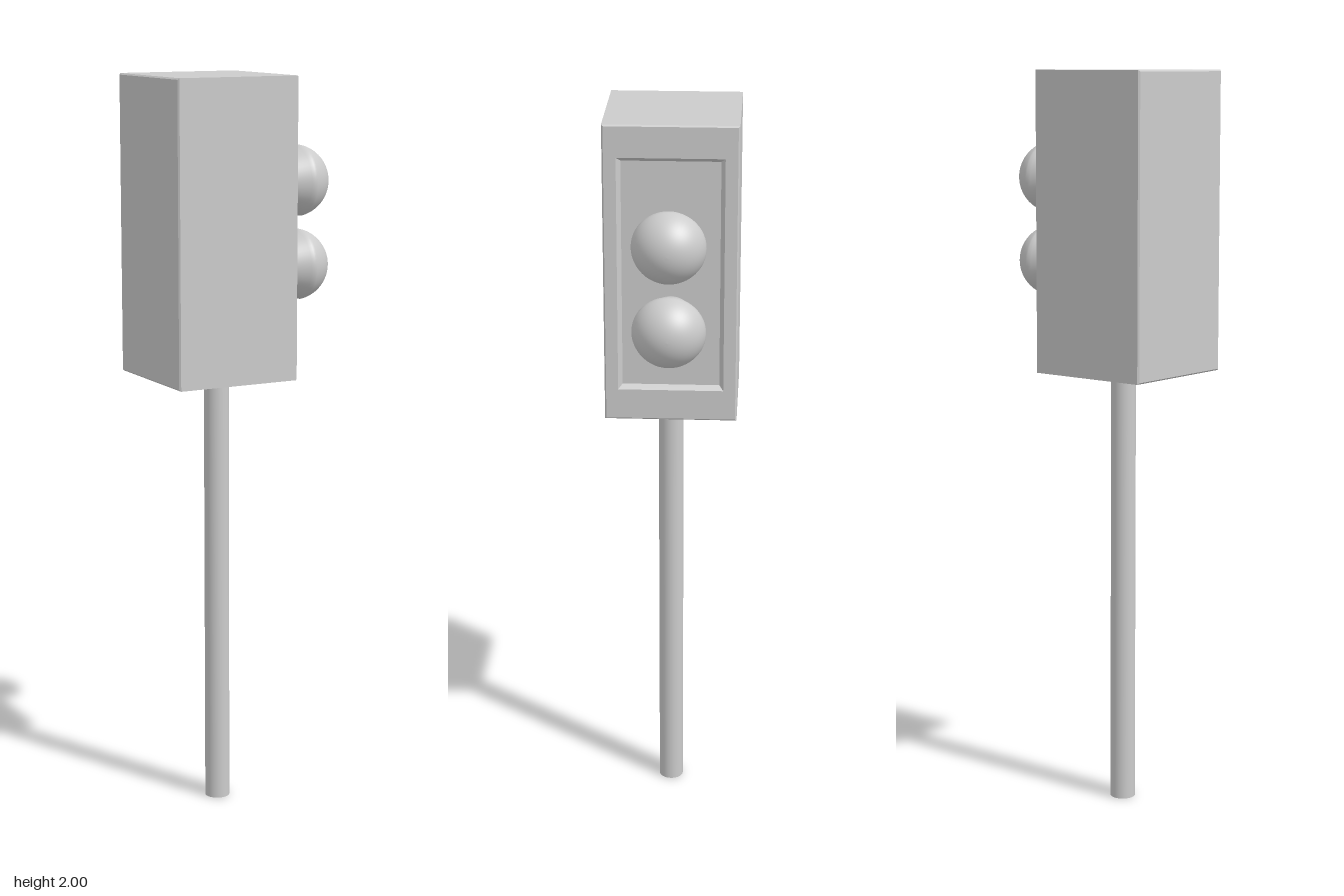
import * as THREE from 'three';

const material = new THREE.MeshStandardMaterial({ color: 0xcccccc });
const flatMaterial = new THREE.MeshStandardMaterial({ color: 0xcccccc, flatShading: true });
const openMaterial = new THREE.MeshStandardMaterial({ color: 0xcccccc, side: THREE.DoubleSide });

function addMesh(group, name, geometry, mat, x, y, z) {
  const mesh = new THREE.Mesh(geometry, mat);
  mesh.name = name;
  mesh.position.set(x, y, z);
  group.add(mesh);
}

// Rectangular rings [x, half height, half depth] joined along x and capped at both ends
function rectangleLoft(rings) {
  const positions = [];
  const indices = [];
  for (const [x, h, d] of rings) {
    positions.push(x, h, -d, x, h, d, x, -h, d, x, -h, -d);
  }
  for (let i = 0; i < rings.length - 1; i++) {
    for (let j = 0; j < 4; j++) {
      const a = i * 4 + j;
      const b = i * 4 + (j + 1) % 4;
      indices.push(a, b, b + 4, a, b + 4, a + 4);
    }
  }
  const e = (rings.length - 1) * 4;
  indices.push(0, 2, 1, 0, 3, 2, e, e + 1, e + 2, e, e + 2, e + 3);
  const geometry = new THREE.BufferGeometry();
  geometry.setAttribute('position', new THREE.Float32BufferAttribute(positions, 3));
  geometry.setIndex(indices);
  const flat = geometry.toNonIndexed();
  flat.computeVertexNormals();
  return flat;
}

// Flared lamp with a domed end, pointing along +x
function lampGeometry() {
  const points = [[0, 0], [0.058, 0], [0.063, 0.02], [0.08, 0.073], [0.092, 0.109]]
    .map(([r, x]) => new THREE.Vector2(r, x));
  const radius = 0.0976;
  const steps = 16;
  for (let i = 0; i <= steps; i++) {
    const t = THREE.MathUtils.lerp(1.39, 0, i / steps);
    points.push(new THREE.Vector2(radius * Math.sin(t), 0.1 + radius * Math.cos(t)));
  }
  return new THREE.LatheGeometry(points, 48).rotateZ(-Math.PI / 2);
}

export function createModel() {
  const group = new THREE.Group();
  group.name = 'signalLight';

  // Housing with chamfered edges and a shallow recess on its lamp side
  addMesh(group, 'housing', rectangleLoft([
    [-0.265, 0.396, 0.171],
    [-0.261, 0.4, 0.175],
    [0.081, 0.4, 0.175],
    [0.085, 0.396, 0.171],
    [0.085, 0.315, 0.139],
    [0.07, 0.304, 0.128],
  ]), flatMaterial, 0, 1.6, 0);

  // Two lamps, one above the other
  const lamp = lampGeometry();
  addMesh(group, 'upperLamp', lamp, material, 0.066, 1.712, 0);
  addMesh(group, 'lowerLamp', lamp, material, 0.066, 1.485, 0);

  // Hollow pole
  addMesh(group, 'pole', new THREE.CylinderGeometry(0.034, 0.034, 1.2, 32, 1, true),
    openMaterial, -0.07, 0.6, 0.006);

  return group;
}
